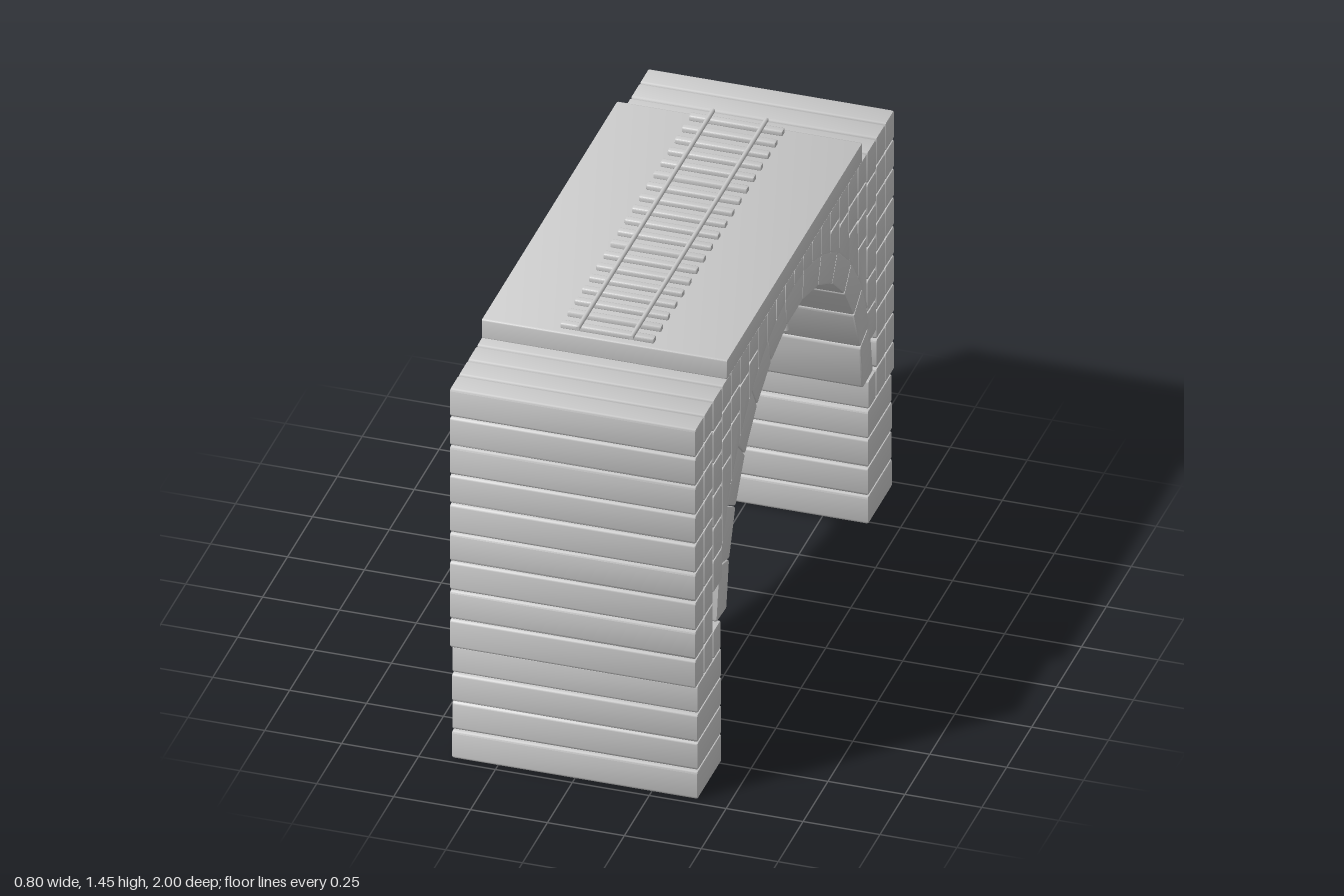
import * as THREE from 'three';
import { toCreasedNormals } from 'three/addons/utils/BufferGeometryUtils.js';

const stone = new THREE.MeshStandardMaterial({ color: 0xcccccc });

// Long stone running across the bridge: corners are [z, y], edges are rounded
function block(name, corners, width = 0.8, r = 0.009) {
  const pts = corners.map(([z, y]) => new THREE.Vector2(z, y));
  const shape = new THREE.Shape();
  const bevel = 0.006;
  pts.forEach((p, i) => {
    const prev = pts[(i + pts.length - 1) % pts.length];
    const next = pts[(i + 1) % pts.length];
    const a = p.clone().add(prev.clone().sub(p).setLength(r));
    const b = p.clone().add(next.clone().sub(p).setLength(r));
    if (i === 0) shape.moveTo(a.x, a.y);
    else shape.lineTo(a.x, a.y);
    shape.quadraticCurveTo(p.x, p.y, b.x, b.y);
  });
  shape.closePath();
  const geo = new THREE.ExtrudeGeometry(shape, {
    depth: width - 2 * bevel, curveSegments: 3,
    bevelSize: bevel, bevelThickness: bevel, bevelOffset: -bevel, bevelSegments: 2,
  });
  geo.translate(0, 0, -(width - 2 * bevel) / 2);
  geo.rotateY(-Math.PI / 2);
  const mesh = new THREE.Mesh(toCreasedNormals(geo, 0.7), stone);
  mesh.name = name;
  return mesh;
}

const rect = (z0, z1, y0, y1) => [[z0, y0], [z1, y0], [z1, y1], [z0, y1]];

export function createModel() {
  const model = new THREE.Group();
  model.name = 'stoneRailwayArch';
  const part = (name) => {
    const g = new THREE.Group();
    g.name = name;
    model.add(g);
    return g;
  };
  const piers = part('piers'), walls = part('endWalls');
  const spandrels = part('spandrels'), arch = part('archRing');
  const track = part('track'), icicles = part('hangingSpikes');

  const top = 1.355, base = 0.413, gap = 0.002, pitch = 1 / 11;
  const centreY = 0.48;
  const outerY = (z) => centreY + 0.825 * Math.sqrt(Math.max(0, 1 - (z / 0.787) ** 2));

  for (const s of [1, -1]) {
    // Piers: four wide courses, then a springer stone
    for (let i = 0; i < 4; i++) {
      const h = base / 4, shift = (i % 2) * 0.004;
      piers.add(block('pierCourse', rect(s * 0.735, s * (0.978 - shift), i * h + gap, (i + 1) * h - gap)));
    }
    piers.add(block('springerStone', rect(s * 0.742, s * 0.813, base + gap, 0.517)));

    // Solid end walls: two columns of nine courses
    for (let c = 0; c < 2; c++) {
      const z1 = 1 - c * pitch, z0 = z1 - pitch;
      for (let i = 0; i < 9; i++) {
        const h = (top - base) / 9;
        walls.add(block('wallStone', rect(s * (z0 + gap), s * (z1 - gap), base + i * h + gap, base + (i + 1) * h - gap)));
      }
    }

    // Spandrel columns: the lowest stone of each is cut to the arch
    for (let c = 0; c < 9; c++) {
      const z0 = c * pitch, z1 = z0 + pitch;
      const low0 = c === 8 ? 0.655 : outerY(z0) - 0.012;
      const low1 = c === 8 ? 0.655 : outerY(z1) - 0.012;
      const rows = Math.max(1, Math.round((top - (low0 + low1) / 2) / 0.115));
      const h = (top - Math.max(low0, low1)) / rows;
      for (let i = 0; i < rows; i++) {
        const y1 = top - i * h, last = i === rows - 1;
        const b0 = last ? low0 : y1 - h, b1 = last ? low1 : y1 - h;
        spandrels.add(block('spandrelStone', [
          [s * (z0 + gap), b0 + gap], [s * (z1 - gap), b1 + gap],
          [s * (z1 - gap), y1 - gap], [s * (z0 + gap), y1 - gap],
        ]));
      }
    }
  }

  // Arch ring of thirteen wedge stones
  const start = 0.061, step = (Math.PI - 2 * start) / 13;
  const onArch = (a, rz, ry) => [Math.cos(a) * rz, centreY + Math.sin(a) * ry];
  for (let i = 0; i < 13; i++) {
    const a = start + i * step + 0.002, b = start + (i + 1) * step - 0.002;
    arch.add(block('archStone', [
      onArch(a, 0.686, 0.722), onArch(a, 0.787, 0.827),
      onArch(b, 0.787, 0.827), onArch(b, 0.686, 0.722),
    ]));
  }

  // Deck, sleepers and rails
  track.add(block('deck', rect(-0.68, 0.68, 1.35, 1.42), 0.8, 0.006));
  for (let i = 0; i < 19; i++) {
    const z = (i - 9) * 0.0717 - 0.005;
    track.add(block('sleeper', rect(z - 0.013, z + 0.013, 1.417, 1.437), 0.306, 0.005));
  }
  for (const x of [-0.087, 0.087]) {
    const rail = new THREE.Mesh(new THREE.CylinderGeometry(0.0075, 0.0075, 1.36, 10), stone);
    rail.name = 'rail';
    rail.rotation.x = Math.PI / 2;
    rail.position.set(x, 1.444, 0);
    track.add(rail);
  }

  // Thin spikes below the arch: x, z, bottom y, top y
  const spikes = [
    [0.09, 0.555, 0.66, 0.87], [-0.14, 0.37, 0.97, 1.06], [-0.2, 0.13, 1.03, 1.16],
    [0.04, -0.13, 0.92, 1.16], [-0.2, -0.365, 0.95, 1.06], [0.19, -0.55, 0.78, 0.87],
  ];
  for (const [x, z, y0, y1] of spikes) {
    const spike = new THREE.Mesh(new THREE.ConeGeometry(0.013, y1 - y0, 8), stone);
    spike.name = 'spike';
    spike.position.set(x, (y0 + y1) / 2, z);
    icicles.add(spike);
  }
  return model;
}
